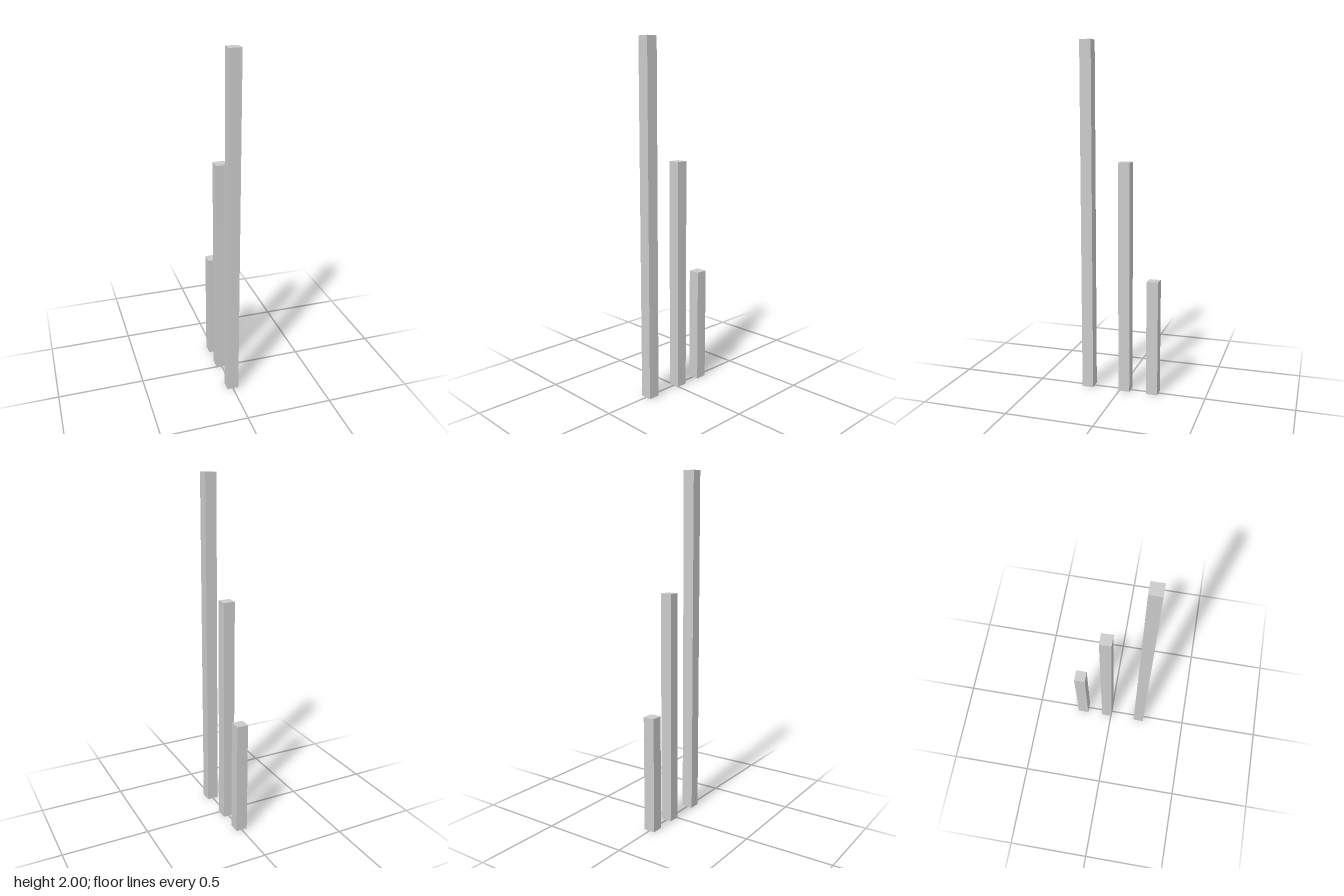
import * as THREE from 'three';

export function createModel() {
  const group = new THREE.Group();
  group.name = 'steppedPosts';
  const material = new THREE.MeshStandardMaterial({ color: 0xcccccc, flatShading: true });
  const width = 0.0667;

  // Three square posts, stepping down in height from front to back
  const posts = [
    { name: 'tallPost', height: 2, z: 0.1945 },
    { name: 'middlePost', height: 4 / 3, z: -0.028 },
    { name: 'shortPost', height: 2 / 3, z: -0.1945 },
  ];
  for (const { name, height, z } of posts) {
    const post = new THREE.Mesh(new THREE.BoxGeometry(width, height, width), material);
    post.name = name;
    post.position.set(0, height / 2, z);
    group.add(post);
  }
  return group;
}
